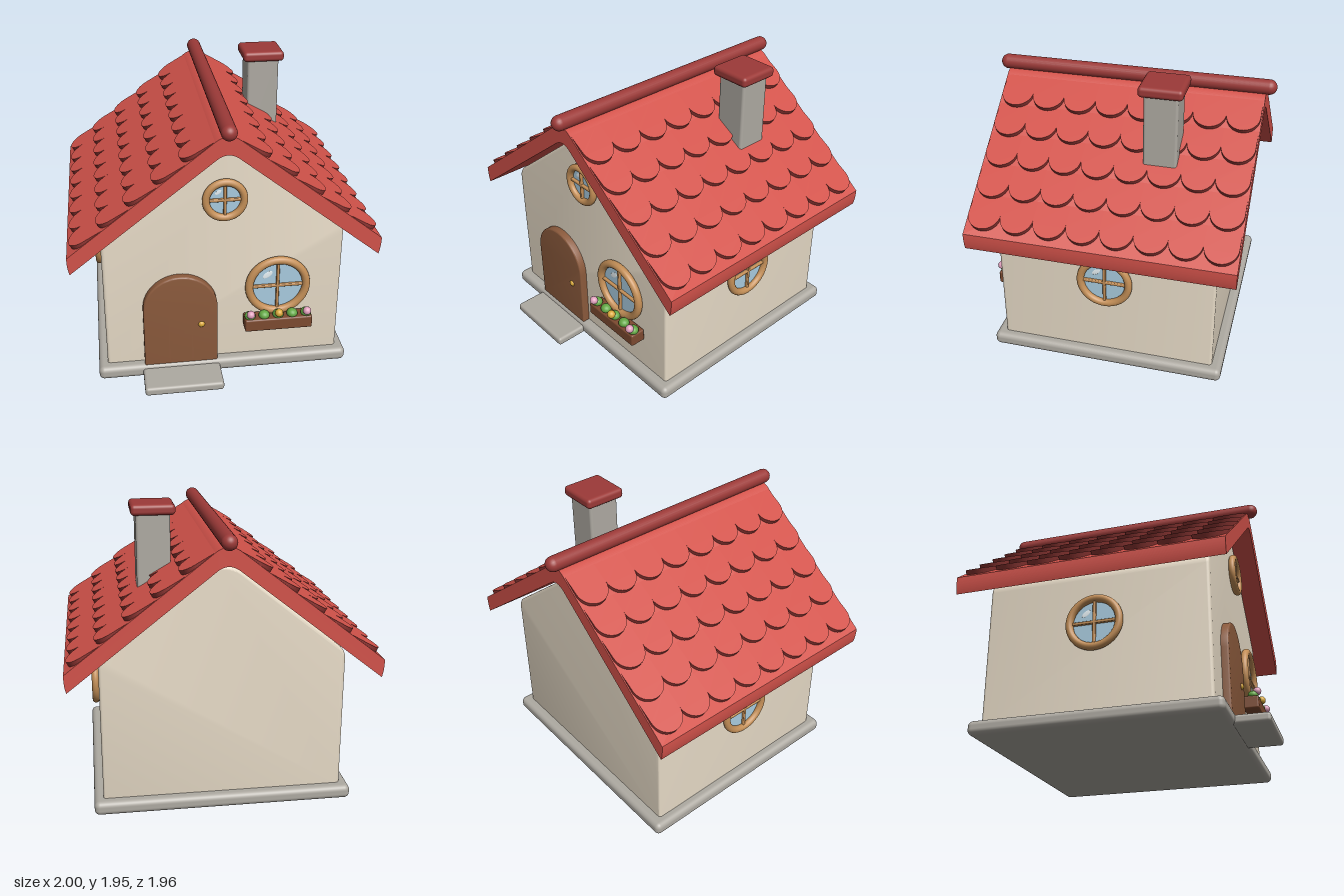
import * as THREE from 'three';
import { toCreasedNormals } from 'three/addons/utils/BufferGeometryUtils.js';
import { RoundedBoxGeometry } from 'three/addons/geometries/RoundedBoxGeometry.js';

const mat = (color, side = THREE.FrontSide) => new THREE.MeshStandardMaterial({ color, side });
const M = {
  wall: mat(0xe6dac6), stone: mat(0xaeaaa2), roof: mat(0xd2524a), darkRed: mat(0x9c3a38),
  tileEdge: mat(0x8f3633), wood: mat(0xc4965f), frame: mat(0x8b5a3c), ring: mat(0xc48f57),
  glass: mat(0xa9cce0), shine: mat(0xe8f2f6), gold: mat(0xd9a93a), green: mat(0x63a844),
  pink: mat(0xe0a0bd), box: mat(0x7d4a30),
};
const MID_Z = -0.033; // centre of the house body along z

function add(parent, name, geometry, material, x = 0, y = 0, z = 0) {
  const mesh = new THREE.Mesh(geometry, material);
  mesh.name = name;
  mesh.position.set(x, y, z);
  parent.add(mesh);
  return mesh;
}

function group(parent, name, x = 0, y = 0, z = 0) {
  const g = new THREE.Group();
  g.name = name;
  g.position.set(x, y, z);
  parent.add(g);
  return g;
}

// Extrusion centred on z, with optional rounded edges that keep the outline size
function extrude(shape, depth, bevel = 0) {
  const g = new THREE.ExtrudeGeometry(shape, {
    depth: depth - 2 * bevel, curveSegments: 20, bevelEnabled: bevel > 0,
    bevelThickness: bevel, bevelSize: bevel, bevelOffset: -bevel, bevelSegments: 4,
  });
  g.translate(0, 0, -depth / 2 + bevel);
  return toCreasedNormals(g, 0.6);
}

// Outline with straight sides and a round top
function arch(half, spring, bottom = 0) {
  const s = new THREE.Shape();
  s.moveTo(-half, bottom);
  s.lineTo(half, bottom);
  s.lineTo(half, spring);
  s.absarc(0, spring, half, 0, Math.PI, false);
  s.closePath();
  return s;
}

// Round window facing +z
function roundWindow(parent, name, outer, tube, x, y, z) {
  const g = group(parent, name, x, y, z);
  const R = outer - tube;
  add(g, 'windowRing', new THREE.TorusGeometry(R, tube, 16, 48), M.ring, 0, 0, 0.024);
  const pane = add(g, 'windowPane', new THREE.CylinderGeometry(R, R, 0.03, 48), M.glass);
  pane.rotation.x = Math.PI / 2;
  add(g, 'uprightBar', new RoundedBoxGeometry(0.02, 2 * R, 0.024, 2, 0.006), M.ring, 0, 0, 0.022);
  add(g, 'crossBar', new RoundedBoxGeometry(2 * R, 0.02, 0.024, 2, 0.006), M.ring, 0, 0, 0.022);
  const shine = add(g, 'glint', new THREE.SphereGeometry(R * 0.2, 16, 10), M.shine, -R * 0.35, R * 0.42, 0.015);
  shine.scale.set(1, 0.5, 0.05);
  shine.rotation.z = 0.65;
  return g;
}

function buildWalls(house) {
  const s = new THREE.Shape();
  s.moveTo(-0.79, 0.06);
  s.lineTo(0.79, 0.06);
  s.lineTo(0.79, 0.98);
  s.quadraticCurveTo(0.79, 1.033, 0.745, 1.068);
  s.lineTo(0.12, 1.569);
  s.quadraticCurveTo(0, 1.665, -0.12, 1.569);
  s.lineTo(-0.745, 1.068);
  s.quadraticCurveTo(-0.79, 1.033, -0.79, 0.98);
  s.closePath();
  add(house, 'walls', extrude(s, 1.466, 0.02), M.wall);
  add(house, 'base', new RoundedBoxGeometry(1.7, 0.092, 1.6, 5, 0.035), M.stone, 0, 0.046, 0);
}

function buildRoof(house) {
  const roof = group(house, 'roof');
  const slope = 0.785, apex = 1.8;

  // Bent slab with a softened ridge
  const s = new THREE.Shape();
  s.moveTo(0.985, 0.9);
  s.quadraticCurveTo(1, 0.95, 0.998, 1.016);
  s.lineTo(0.08, apex - 0.08 * slope);
  s.quadraticCurveTo(0, apex, -0.08, apex - 0.08 * slope);
  s.lineTo(-0.998, 1.016);
  s.quadraticCurveTo(-1, 0.95, -0.985, 0.9);
  s.lineTo(-0.07, 1.622);
  s.quadraticCurveTo(0, 1.677, 0.07, 1.622);
  s.closePath();
  add(roof, 'roofSlab', extrude(s, 1.755), M.roof);

  // One scalloped tile: tip at the origin, y running up the slope
  const w = 0.2175, r = w / 2, length = 0.26;
  const t = new THREE.Shape();
  t.moveTo(r, length);
  t.lineTo(-r, length);
  t.lineTo(-r, r);
  t.absarc(0, r, r, Math.PI, 2 * Math.PI, false);
  t.closePath();
  const tile = new THREE.ExtrudeGeometry(t, { depth: 0.034, bevelEnabled: false, curveSegments: 14 });

  // Tiles lean into the slab so their upper ends sink below its surface
  const a = Math.atan(slope) - 0.14;
  const turn = new THREE.Matrix4().makeBasis(
    new THREE.Vector3(0, 0, -1),
    new THREE.Vector3(-Math.cos(a), Math.sin(a), 0),
    new THREE.Vector3(Math.sin(a), Math.cos(a), 0));
  for (const side of [0, 1]) {
    const half = group(roof, side ? 'leftTiles' : 'rightTiles');
    half.rotation.y = side ? 0 : Math.PI;
    for (let row = 0; row < 5; row++) {
      const y = 1.04 + row * 0.1365;
      for (let i = 0; i < 8; i++) {
        const m = add(half, 'roofTile', tile, [M.roof, M.tileEdge], (apex - y) / slope, y, (i - 3.5) * w);
        m.quaternion.setFromRotationMatrix(turn);
      }
    }
  }

  const ridge = add(roof, 'ridge', new THREE.CapsuleGeometry(0.05, 1.785, 10, 24), M.darkRed, 0, 1.8, 0);
  ridge.rotation.x = Math.PI / 2;
}

function buildChimney(model) {
  const g = group(model, 'chimney', 0.407, 0, -0.322);
  add(g, 'chimneyStack', new RoundedBoxGeometry(0.22, 0.6, 0.22, 4, 0.018), M.stone, 0, 1.6, 0);
  add(g, 'chimneyCap', new RoundedBoxGeometry(0.284, 0.07, 0.284, 4, 0.025), M.darkRed, 0, 1.915, 0);
}

function buildDoor(model) {
  const g = group(model, 'door', -0.293, 0, 0.7);
  const outline = arch(0.247, 0.515, 0.08);
  outline.holes.push(arch(0.203, 0.515, 0.081));
  add(g, 'doorFrame', extrude(outline, 0.08, 0.012), M.frame, 0, 0, 0.01);
  add(g, 'doorPanel', extrude(arch(0.215, 0.512, 0.085), 0.06), M.wood);
  for (const x of [-0.078, 0.078]) {
    add(g, 'doorSlat', new RoundedBoxGeometry(0.015, 0.475, 0.03, 2, 0.005), M.frame, x, 0.345, 0.035);
  }
  add(g, 'doorKnob', new THREE.SphereGeometry(0.024, 20, 14), M.gold, 0.138, 0.388, 0.042);
  add(model, 'doorStep', new RoundedBoxGeometry(0.524, 0.06, 0.34, 4, 0.02), M.stone, -0.293, 0.037, 0.81);
}

function buildFlowerBox(model) {
  const g = group(model, 'flowerBox', 0.358, 0, 0.76);
  add(g, 'planter', new RoundedBoxGeometry(0.455, 0.09, 0.108, 3, 0.012), M.box, 0, 0.383, 0);
  for (let i = 0; i < 5; i++) {
    const x = (i - 2) * 0.095;
    const leaf = add(g, 'leaves', new THREE.SphereGeometry(0.037, 16, 12), M.green, x, 0.44, 0.012);
    leaf.scale.y = 0.85;
    if (i % 2 === 0) {
      add(g, 'blossom', new THREE.SphereGeometry(0.028, 16, 12), i === 2 ? M.gold : M.pink, x, 0.467, 0.042);
    }
  }
}

export function createModel() {
  const model = new THREE.Group();
  model.name = 'cottage';
  const house = group(model, 'house', 0, 0, MID_Z);
  buildWalls(house);
  buildRoof(house);
  buildChimney(model);
  buildDoor(model);
  buildFlowerBox(model);

  // Two front windows and one on each side wall
  roundWindow(model, 'frontWindow', 0.219, 0.027, 0.358, 0.635, 0.7);
  roundWindow(model, 'gableWindow', 0.146, 0.024, 0, 1.293, 0.7);
  for (const side of [1, -1]) {
    const win = roundWindow(model, side > 0 ? 'leftWindow' : 'rightWindow', 0.188, 0.025, side * 0.787, 0.662, MID_Z);
    win.rotation.y = side * Math.PI / 2;
  }
  return model;
}
